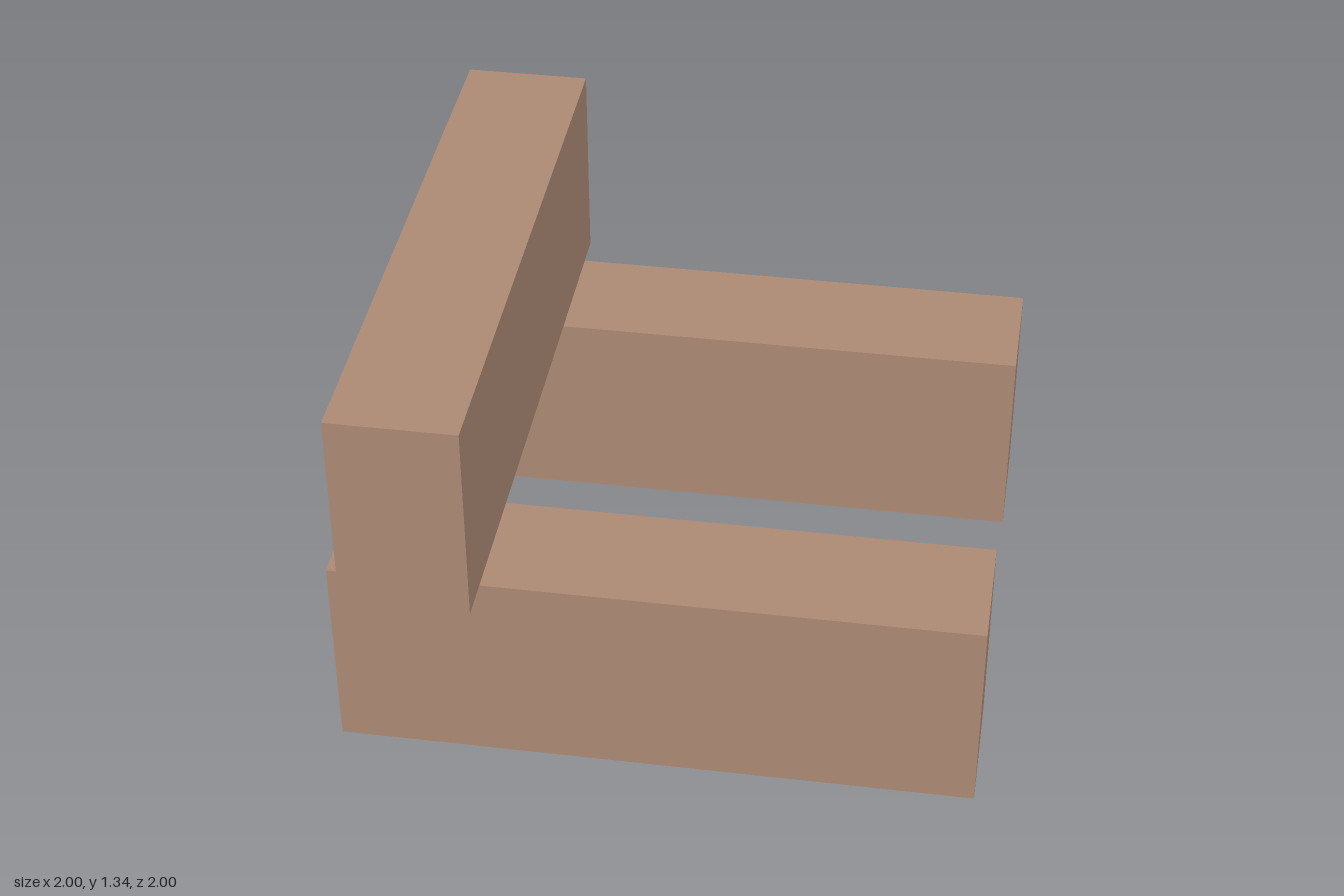
import * as THREE from 'three';

const LENGTH = 2, HEIGHT = 0.668, WIDTH = 0.4;

export function createModel() {
  const model = new THREE.Group();
  model.name = 'stackedBeams';
  const wood = new THREE.MeshStandardMaterial({ color: 0xb08c76, flatShading: true });
  const beamGeometry = new THREE.BoxGeometry(LENGTH, HEIGHT, WIDTH);

  // All beams share one size; each rests with its underside at the given height
  function addBeam(name, x, bottom, z, turn = 0) {
    const beam = new THREE.Mesh(beamGeometry, wood);
    beam.name = name;
    beam.position.set(x, bottom + HEIGHT / 2, z);
    beam.rotation.y = turn;
    model.add(beam);
  }

  // Two parallel beams on the ground
  addBeam('frontLowerBeam', 0, 0, 0.667);
  addBeam('backLowerBeam', 0, 0, -0.693);

  // One beam laid across them near the right end
  addBeam('upperCrossBeam', -0.726, HEIGHT + 0.002, 0, Math.PI / 2);

  return model;
}
